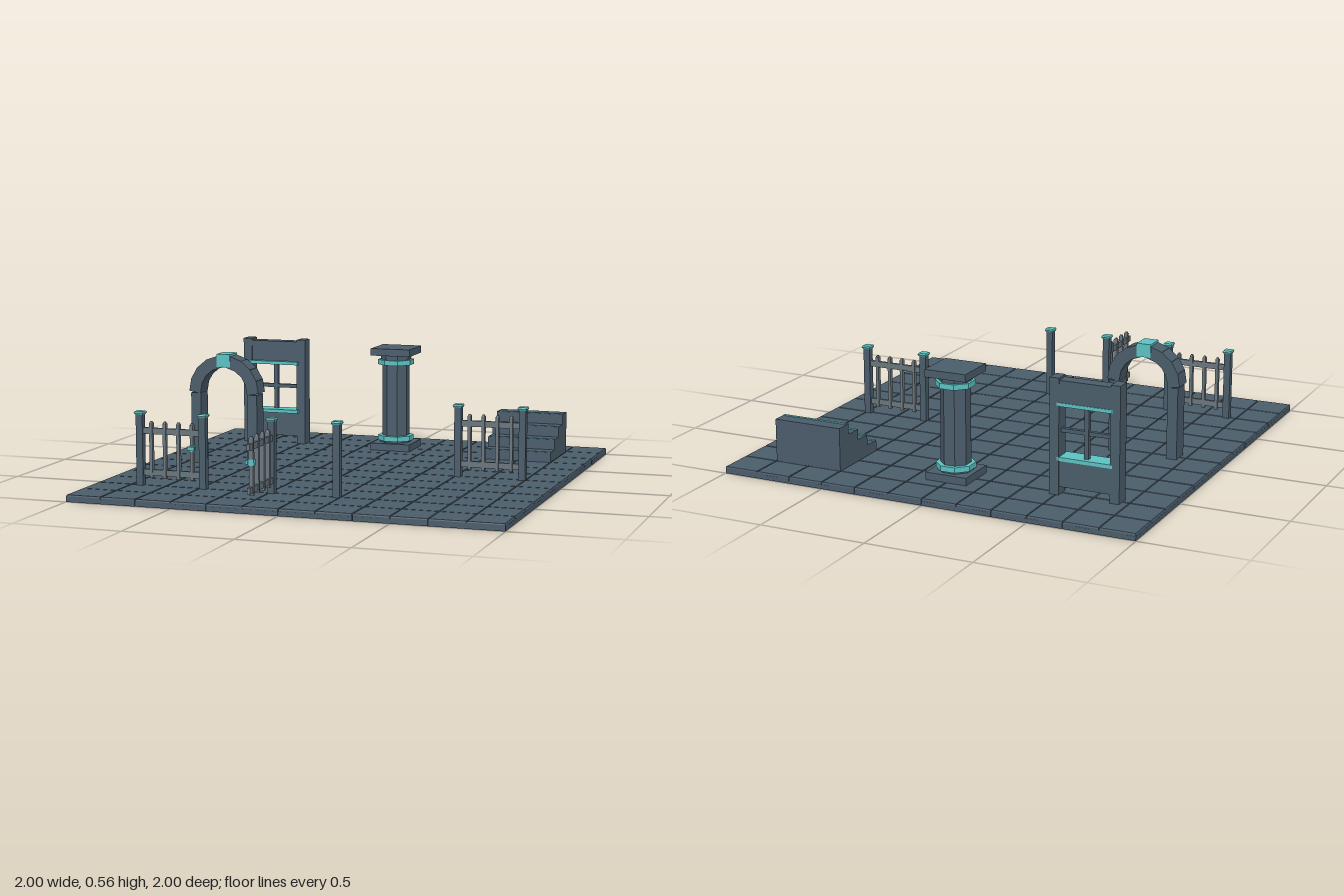
import * as THREE from 'three';

const mat = (name, color) => {
  const m = new THREE.MeshStandardMaterial({ color });
  m.name = name;
  return m;
};

export function createModel() {
  const slate = mat('slate stone', 0x4b5d6b);
  const teal = mat('teal trim', 0x5cc2c2);
  const iron = mat('grey rail', 0x6a767d);
  const root = new THREE.Group();
  const FLOOR = 0.032;

  const group = (name, x, z, parent = root) => {
    const g = new THREE.Group();
    g.name = name;
    g.position.set(x, 0, z);
    parent.add(g);
    return g;
  };
  const add = (parent, name, geo, material, x = 0, y = 0, z = 0) => {
    const m = new THREE.Mesh(geo, material);
    m.name = name;
    m.position.set(x, y, z);
    parent.add(m);
    return m;
  };
  // box given by its vertical range
  const block = (parent, name, material, w, y0, y1, d, x = 0, z = 0) =>
    add(parent, name, new THREE.BoxGeometry(w, y1 - y0, d), material, x, (y0 + y1) / 2, z);
  // square frustum, bottom and top widths
  const frustum = (w0, w1, h) => {
    const g = new THREE.CylinderGeometry(w1 / Math.SQRT2, w0 / Math.SQRT2, h, 4).toNonIndexed();
    g.rotateY(Math.PI / 4);
    g.computeVertexNormals();
    return g;
  };
  const octagon = (apothem, h) => {
    const r = apothem / Math.cos(Math.PI / 8);
    const g = new THREE.CylinderGeometry(r, r, h, 8).toNonIndexed();
    g.rotateY(Math.PI / 8);
    g.computeVertexNormals();
    return g;
  };

  // Floor: 6 x 6 tiles, each carrying four bevelled slabs
  const floor = group('floor', 0, 0);
  const tileGeo = new THREE.BoxGeometry(0.331, 0.02, 0.331);
  const slabGeo = frustum(0.1645, 0.16, 0.006);
  const slabSide = new THREE.BoxGeometry(0.1645, 0.008, 0.1645);
  for (let i = 0; i < 6; i++) for (let j = 0; j < 6; j++) {
    const t = group('floorTile', (i - 2.5) / 3, (j - 2.5) / 3, floor);
    add(t, 'tileBase', tileGeo, slate, 0, 0.01, 0);
    for (const sx of [-1, 1]) for (const sz of [-1, 1]) {
      add(t, 'slabSide', slabSide, slate, sx * 0.083, 0.022, sz * 0.083);
      add(t, 'slabTop', slabGeo, slate, sx * 0.083, 0.029, sz * 0.083);
    }
  }

  // Arch: two legs and a ring of stones with a teal keystone
  const arch = group('arch', -0.635, 0);
  for (const s of [-1, 1]) block(arch, 'archLeg', slate, 0.05, FLOOR, 0.37, 0.085, s * 0.143);
  const N = 9;
  for (let i = 0; i < N; i++) {
    const a = ((i + 0.5) / N) * Math.PI;
    const key = i === (N - 1) / 2;
    const r = key ? 0.152 : 0.145;
    const stone = add(arch, key ? 'keystone' : 'archStone',
      new THREE.BoxGeometry(key ? 0.068 : 0.06, key ? 0.062 : 0.058, key ? 0.094 : 0.088),
      key ? teal : slate, Math.cos(a) * r, 0.378 + Math.sin(a) * r, 0);
    stone.rotation.z = a - Math.PI / 2;
  }

  // Window wall: posts, panels, glazing bars and trim
  const win = group('windowWall', -0.635, -0.67);
  for (const s of [-1, 1]) block(win, 'windowPost', slate, 0.045, FLOOR, 0.56, 0.07, s * 0.1425);
  block(win, 'lowerPanel', slate, 0.25, 0.07, 0.19, 0.062);
  block(win, 'upperPanel', slate, 0.25, 0.45, 0.55, 0.064);
  block(win, 'windowSill', teal, 0.262, 0.188, 0.205, 0.09, 0, 0.01);
  block(win, 'windowHead', teal, 0.262, 0.434, 0.45, 0.09, 0, 0.01);
  block(win, 'mullion', slate, 0.02, 0.2, 0.44, 0.022);
  block(win, 'transom', slate, 0.245, 0.312, 0.33, 0.02);

  // Octagonal pillar
  const pillar = group('pillar', 0, -0.67);
  block(pillar, 'plinth', slate, 0.2, FLOOR, 0.067, 0.2);
  add(pillar, 'shaft', octagon(0.063, 0.43), slate, 0, 0.28, 0);
  add(pillar, 'baseRing', octagon(0.083, 0.025), teal, 0, 0.088, 0);
  add(pillar, 'baseCollar', octagon(0.073, 0.012), slate, 0, 0.07, 0);
  add(pillar, 'topRing', octagon(0.083, 0.025), teal, 0, 0.468, 0);
  add(pillar, 'topCollar', octagon(0.07, 0.028), slate, 0, 0.493, 0);
  block(pillar, 'capital', slate, 0.2, 0.505, 0.54, 0.2);

  // Stairs climbing to the back, teal strip on each tread edge
  const stairs = group('stairs', 0.667, -0.5);
  for (let i = 0; i < 4; i++) {
    const top = 0.08 + i * 0.05;
    const z = -i * 0.0825;
    block(stairs, 'step', slate, 0.332, FLOOR, top, 0.0825, 0, z - 0.041);
    block(stairs, 'treadStrip', teal, 0.328, top - 0.009, top + 0.002, 0.014, 0, z - 0.011);
  }

  // Fence parts
  const post = (parent, x) => {
    const p = group('fencePost', x, 0, parent);
    block(p, 'postShaft', slate, 0.032, FLOOR, 0.357, 0.032);
    add(p, 'postCap', frustum(0.036, 0.045, 0.008), teal, 0, 0.359, 0);
    add(p, 'postCapTop', frustum(0.045, 0.038, 0.007), teal, 0, 0.3665, 0);
  };
  // Panel starts at its origin and runs along +x
  const panel = (parent, x, latch) => {
    const p = group('fencePanel', x, 0, parent);
    for (const y of [0.092, 0.282]) block(p, 'rail', iron, 0.275, y - 0.014, y + 0.014, 0.014, 0.1375);
    for (let i = 0; i < 4; i++) {
      const px = 0.1375 + (i - 1.5) * 0.066;
      block(p, 'picket', iron, 0.015, 0.067, 0.318, 0.02, px);
      add(p, 'picketTip', frustum(0.015, 0.008, 0.008), iron, px, 0.322, 0);
    }
    if (latch) {
      block(p, 'latchPlate', teal, 0.018, 0.198, 0.226, 0.028, 0.237);
      block(p, 'latchHandle', teal, 0.034, 0.205, 0.222, 0.012, 0.237, 0.018);
    }
    return p;
  };

  // Fixed fence, closed gate and open gate
  const fence = group('fence', 0.667, 0);
  const closedGate = group('closedGate', -0.633, 0.667);
  const openGate = group('openGate', 0, 0.667);
  for (const g of [fence, closedGate, openGate]) for (const s of [-1, 1]) post(g, s * 0.153);
  panel(fence, -0.1375, false);
  panel(closedGate, -0.1375, true);
  const swung = panel(openGate, -0.15, true);
  swung.position.z = 0.017;
  swung.rotation.y = -Math.PI / 2;

  return root;
}
